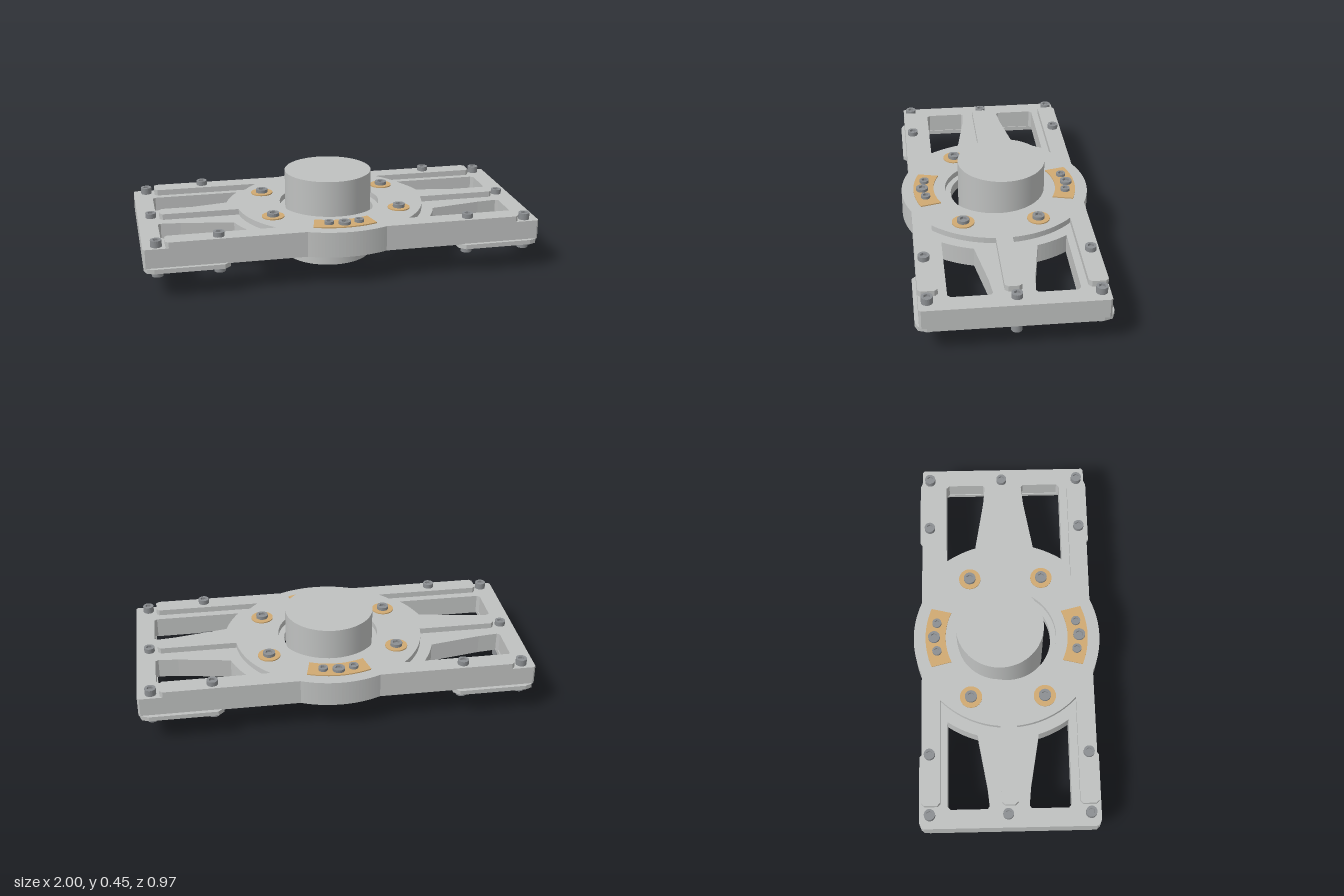
import * as THREE from 'three';

const mat = (name, color) => {
  const m = new THREE.MeshStandardMaterial({ color });
  m.name = name;
  return m;
};

export function createModel() {
  const model = new THREE.Group();
  const plate = mat('light grey metal', 0xbfc1c0);
  const steel = mat('dark steel', 0x8c8f92);
  const tan = mat('tan washer', 0xd0aa72);
  const R = 0.487; // radius of the round centre

  const add = (name, geo, material, x = 0, y = 0, z = 0) => {
    const m = new THREE.Mesh(geo, material);
    m.name = name;
    m.position.set(x, y, z);
    model.add(m);
    return m;
  };
  const shapeOf = (pts) => new THREE.Shape(pts.map(([x, z]) => new THREE.Vector2(x, z)));
  const circle = (r, n = 72, x = 0, z = 0) => Array.from({ length: n }, (_, i) => {
    const a = (i / n) * Math.PI * 2;
    return [x + r * Math.cos(a), z + r * Math.sin(a)];
  });
  const arc = (r, a, b, n = 12) => Array.from({ length: n + 1 }, (_, i) => {
    const t = a + ((b - a) * i) / n;
    return [r * Math.cos(t), r * Math.sin(t)];
  });
  // Vertical slab from an x/z outline with holes
  const slab = (pts, holes, y0, y1) => {
    const s = shapeOf(pts);
    holes.forEach((h) => s.holes.push(shapeOf(h)));
    return new THREE.ExtrudeGeometry(s, { depth: y1 - y0, bevelEnabled: false })
      .rotateX(Math.PI / 2).translate(0, y1, 0);
  };
  // Full outline from the +x +z quarter
  const mirror4 = (q) => {
    const flip = (sx, sz) => q.map(([x, z]) => [x * sx, z * sz]);
    return [...flip(1, 1), ...flip(-1, 1).reverse(), ...flip(-1, -1), ...flip(1, -1).reverse()];
  };
  const bulge = arc(R, Math.acos(0.2 / R), Math.PI / 2 - 0.001);

  // Base frame with four windows, stepped bore and underside pocket
  const frame = mirror4([[1, 0.05], [1, 0.435], [0.99, 0.445], ...bulge]);
  const quarterWindow = [[0.905, 0.11], [0.89, 0.1], [0.79, 0.11],
    ...arc(0.547, 0.29, 0.605, 8), [0.89, 0.311], [0.905, 0.296]];
  const windows = [[1, 1], [-1, 1], [1, -1], [-1, -1]]
    .map(([sx, sz]) => quarterWindow.map(([x, z]) => [x * sx, z * sz - 0.003]));
  add('lowerFrame', slab(frame, [...windows, circle(0.4)], 0.16, 0.21), plate);
  add('middleFrame', slab(frame, [...windows, circle(0.23)], 0.21, 0.26), plate);

  // Raised round centre with side ribs and middle ribs
  const raised = mirror4([[0.89, 0.025], [0.875, 0.042],
    ...arc(R, Math.asin(0.042 / R), Math.asin(0.35 / R)),
    [0.875, 0.35], [0.89, 0.365], [0.89, 0.43], [0.875, 0.445], ...bulge]);
  add('raisedCentreAndRibs', slab(raised, [circle(0.26)], 0.26, 0.29), plate);

  // Central drum, set slightly back
  add('centralDrum', new THREE.CylinderGeometry(0.226, 0.226, 0.452, 48), plate, 0, 0.226, -0.035);

  // C-shaped foot plates under both ends
  for (const s of [1, -1]) {
    const half = [[0.9, 0.33], [0.66, 0.33], [0.6, 0.35], [0.575, 0.39],
      [0.58, 0.435], [0.61, 0.464], [0.95, 0.464], [0.985, 0.45], [0.998, 0.41]];
    const pts = [...half, ...half.map(([x, z]) => [x, -z]).reverse()].map(([x, z]) => [x * s, z]);
    add('footPlate', slab(pts, [], 0.14, 0.163), plate);
  }

  // Bosses in the underside pocket around the clamp bolts
  for (let i = 0; i < 6; i++) {
    const a = Math.PI / 6 + (i * Math.PI) / 3;
    const wide = i % 3 === 1;
    const d = wide ? 0.27 : 0.055 / 0.38;
    add('pocketBoss', slab([...arc(0.405, a - d, a + d), ...arc(0.32, a + d, a - d)], [], 0.16, 0.212), plate);
  }

  // Curved tan pads and round washers
  for (const s of [1, -1]) {
    const a = (s * Math.PI) / 2;
    add('curvedPad', slab([...arc(0.32, a - 0.44, a + 0.44), ...arc(0.425, a + 0.39, a - 0.39),
    ], [], 0.289, 0.296), tan);
  }

  // Socket-head bolt: solid shank with a hexagonal recess in the head
  const bolt = (name, x, z, y0, y1, r) => {
    const g = new THREE.Group();
    g.name = name;
    const shank = new THREE.Mesh(new THREE.CylinderGeometry(r, r, y1 - 0.012 - y0, 20), steel);
    shank.position.y = (y0 + y1 - 0.012) / 2;
    shank.name = 'shank';
    const head = new THREE.Mesh(slab(circle(r, 20), [circle(r * 0.6, 6)], y1 - 0.012, y1), steel);
    head.name = 'socketHead';
    g.add(shank, head);
    g.position.set(x, 0, z);
    model.add(g);
  };
  for (const sx of [1, -1]) {
    bolt('endBolt', sx * 0.933, -0.01, 0.073, 0.285, 0.027);
    for (const sz of [1, -1]) {
      bolt('cornerBolt', sx * 0.933, sz * 0.403, 0.108, 0.294, 0.028);
      bolt('ribBolt', sx * 0.63, sz * 0.403, 0.108, 0.314, 0.028);
      bolt('clampBolt', sx * 0.329, sz * 0.19, 0.145, 0.313, 0.031);
      bolt('padSideBolt', sx * 0.077, sz * 0.365, 0.145, 0.311, 0.024);
      add('washer', new THREE.CylinderGeometry(0.057, 0.057, 0.007, 32), tan, sx * 0.329, 0.2925, sz * 0.19);
    }
    bolt('padCentreBolt', 0, sx * 0.38, 0.145, 0.311, 0.031);
  }
  return model;
}
